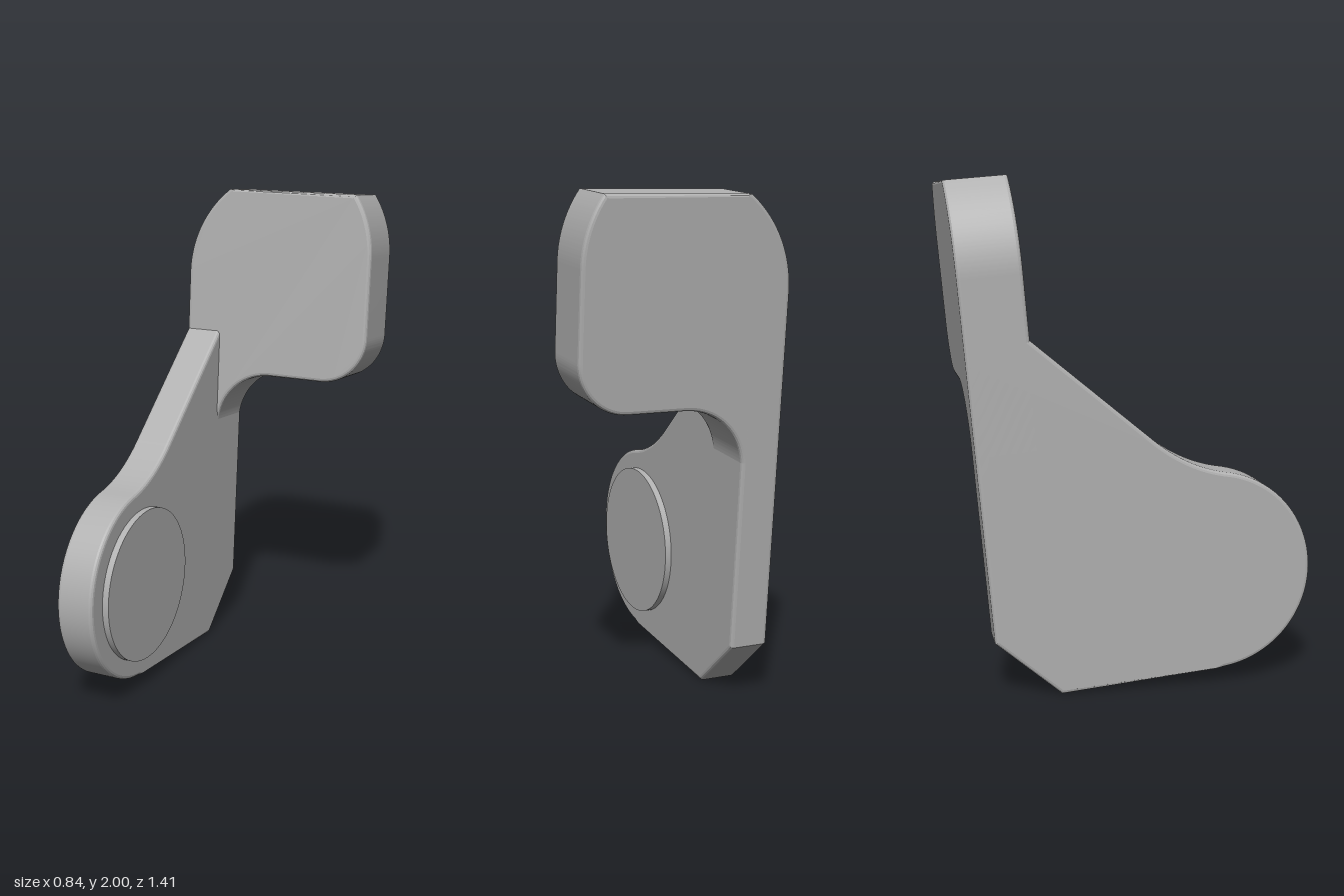
import * as THREE from 'three';
import { toCreasedNormals } from 'three/addons/utils/BufferGeometryUtils.js';

const BEVEL = 0.015;
const TILT = THREE.MathUtils.degToRad(5);
const rad = THREE.MathUtils.degToRad;

// Extrudes a shape to an exact thickness with softly rounded edges
function softPlate(shape, thickness) {
  const geo = new THREE.ExtrudeGeometry(shape, {
    depth: thickness - 2 * BEVEL,
    bevelThickness: BEVEL,
    bevelSize: BEVEL,
    bevelOffset: -BEVEL,
    bevelSegments: 3,
    curveSegments: 32,
  });
  geo.translate(0, 0, BEVEL);
  return toCreasedNormals(geo, 0.15);
}

export function createModel() {
  const group = new THREE.Group();
  const metal = new THREE.MeshStandardMaterial({ color: 0xb0b0b0 });
  metal.name = 'grey metal';

  const add = (name, geometry) => {
    const mesh = new THREE.Mesh(geometry, metal);
    mesh.name = name;
    group.add(mesh);
  };

  // Side arm, drawn in (z, y): round pivot end, sloped neck, tilted back edge
  const arm = new THREE.Shape();
  arm.moveTo(-0.29, 0);
  arm.lineTo(0.345, 0.0615);
  arm.absarc(0.31, 0.46, 0.4, rad(-85), rad(81.4), false);
  arm.quadraticCurveTo(0.21, 0.879, 0.07, 0.995);
  arm.lineTo(-0.48, 1.452);
  arm.lineTo(-0.6445, 1.3);
  arm.lineTo(-0.55, 0.22);
  arm.closePath();
  const armGeo = softPlate(arm, 0.16);
  armGeo.rotateY(-Math.PI / 2).translate(-0.26, 0, 0);
  add('sideArm', armGeo);

  // Tilted tab, drawn in (x, height along the tilt), blended into the arm
  const tab = new THREE.Shape();
  tab.moveTo(-0.42, 0.6);
  tab.lineTo(-0.262, 0.6);
  tab.lineTo(-0.262, 0.724);
  tab.absarc(-0.012, 0.724, 0.25, Math.PI, Math.PI / 2, true);
  tab.lineTo(0.22, 0.974);
  tab.absarc(0.22, 1.174, 0.2, -Math.PI / 2, 0, false);
  tab.lineTo(0.42, 1.506);
  tab.absarc(-0.04, 1.506, 0.46, 0, Math.atan2(0.259, 0.38), false);
  tab.lineTo(-0.24, 1.765);
  tab.absarc(0.04, 1.4, 0.46, Math.atan2(0.365, -0.28), Math.PI, false);
  tab.closePath();
  const tabGeo = softPlate(tab, 0.248);
  tabGeo.rotateX(-TILT).translate(0, 0.22, -0.55);
  add('tiltedTab', tabGeo);

  // Raised disc on the inner face of the arm
  const disc = new THREE.CylinderGeometry(0.32, 0.32, 0.045, 96);
  disc.rotateZ(Math.PI / 2).translate(-0.2555, 0.46, 0.31);
  add('pivotDisc', disc);

  return group;
}
